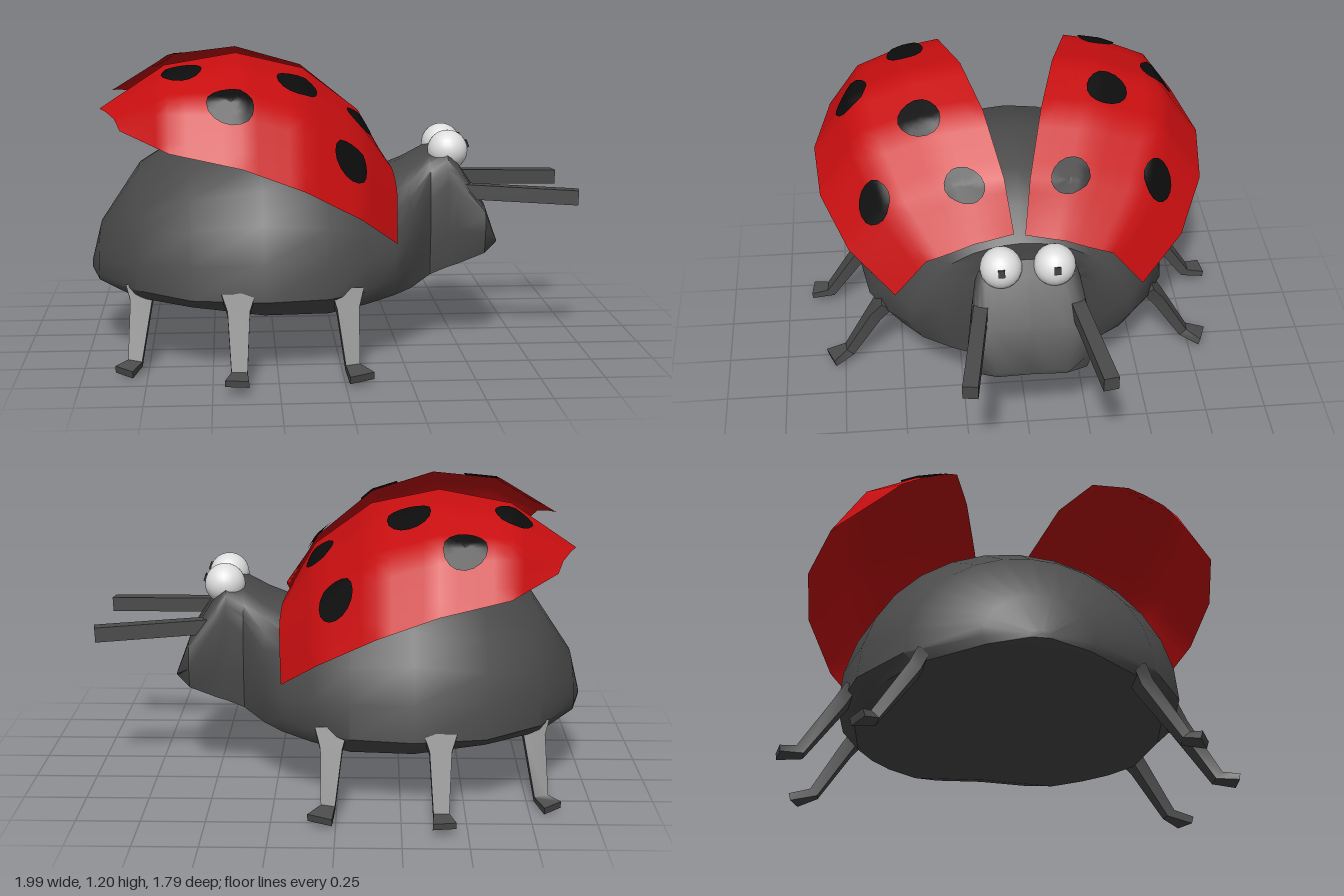
import * as THREE from 'three';
import { toCreasedNormals } from 'three/addons/utils/BufferGeometryUtils.js';

const V = (x, y, z) => new THREE.Vector3(x, y, z);
const lerp = THREE.MathUtils.lerp;

function material(name, color, side = THREE.FrontSide) {
  const m = new THREE.MeshStandardMaterial({ color, side });
  m.name = name;
  return m;
}

// Skin a list of equal-length cross-sections
function loft(rings, closed, capped) {
  const n = rings[0].length, pos = [], idx = [];
  rings.forEach(r => r.forEach(p => pos.push(p.x, p.y, p.z)));
  const steps = closed ? n : n - 1;
  for (let i = 0; i < rings.length - 1; i++) {
    for (let j = 0; j < steps; j++) {
      const k = (j + 1) % n;
      const a = i * n + j, b = a + n, c = (i + 1) * n + k, d = i * n + k;
      idx.push(a, b, c, a, c, d);
    }
  }
  if (capped) {
    [0, rings.length - 1].forEach((i, end) => {
      const c = V(0, 0, 0);
      rings[i].forEach(p => c.addScaledVector(p, 1 / n));
      const ci = pos.length / 3;
      pos.push(c.x, c.y, c.z);
      for (let j = 0; j < n; j++) {
        const a = i * n + j, b = i * n + (j + 1) % n;
        if (end) idx.push(ci, b, a); else idx.push(ci, a, b);
      }
    });
  }
  const g = new THREE.BufferGeometry();
  g.setAttribute('position', new THREE.Float32BufferAttribute(pos, 3));
  g.setIndex(idx);
  g.computeVertexNormals();
  return g;
}

// Tapered rectangular bar through points [x, y, z, width, thickness]
function bar(points, side) {
  const ps = points.map(p => V(p[0], p[1], p[2]));
  const rings = points.map((p, i) => {
    const d = ps[Math.min(i + 1, ps.length - 1)].clone().sub(ps[Math.max(i - 1, 0)]).normalize();
    const s = side.clone().addScaledVector(d, -side.dot(d)).normalize();
    const n = d.clone().cross(s);
    return [[1, 1], [1, -1], [-1, -1], [-1, 1]].map(([a, b]) =>
      ps[i].clone().addScaledVector(s, a * p[3] / 2).addScaledVector(n, b * p[4] / 2));
  });
  return toCreasedNormals(loft(rings, true, true), 0.5);
}

// Body and head sections: x, half width, bottom, rim, top, squareness
const SECTIONS = [
  [-1, 0.04, 0.30, 0.31, 0.33, 1], [-0.96, 0.21, 0.28, 0.31, 0.49, 1],
  [-0.8, 0.47, 0.26, 0.30, 0.73, 1], [-0.58, 0.62, 0.25, 0.29, 0.87, 1],
  [-0.3, 0.67, 0.225, 0.29, 0.945, 1], [-0.05, 0.63, 0.22, 0.29, 0.90, 1],
  [0.1, 0.55, 0.235, 0.30, 0.82, 1], [0.22, 0.46, 0.25, 0.32, 0.71, 1],
  [0.3, 0.33, 0.25, 0.36, 0.74, 0.8], [0.39, 0.21, 0.28, 0.43, 0.785, 0.5],
  [0.46, 0.215, 0.31, 0.45, 0.81, 0.35], [0.5, 0.225, 0.325, 0.47, 0.75, 0.35],
  [0.61, 0.25, 0.375, 0.46, 0.58, 0.4], [0.67, 0.15, 0.40, 0.41, 0.42, 0.5],
];

function bodyGeometry() {
  const rings = SECTIONS.map(([x, w, yb, yr, yt, p]) => {
    const ring = [];
    for (let j = 0; j <= 14; j++) {
      const a = j / 14 * Math.PI, c = Math.cos(a), s = Math.max(0, Math.sin(a));
      ring.push(V(x, yr + (yt - yr) * s ** p, w * Math.sign(c) * Math.abs(c) ** p));
    }
    // slightly hollow belly
    for (const f of [-0.9, -0.45, 0, 0.45, 0.9])
      ring.push(V(x, yb + 0.03 * (1 - Math.abs(f) / 0.9) * Math.min(1, w), w * f));
    return ring;
  });
  return toCreasedNormals(loft(rings, true, true), 0.75);
}

// Wing case stations: inner edge xyz, outer edge xyz
const WING = [
  [0.21, 0.75, 0.03, 0.22, 0.48, 0.52], [0.1, 0.95, 0.06, 0.07, 0.61, 0.70],
  [-0.13, 1.13, 0.125, -0.15, 0.74, 0.81], [-0.4, 1.2, 0.2, -0.38, 0.83, 0.83],
  [-0.68, 1.16, 0.28, -0.65, 0.88, 0.76], [-0.93, 1.0, 0.36, -0.84, 0.94, 0.57],
];
const ACROSS = [0, 0.33, 0.73, 1], DROP = [0, 0.09, 0.36, 1];

// Point on a wing case: u runs 0..5 front to back, v runs 0..3 inner to outer
function wingPoint(u, v) {
  u = THREE.MathUtils.clamp(u, 0, 5);
  v = THREE.MathUtils.clamp(v, 0, 3);
  const i = Math.min(4, Math.floor(u)), j = Math.min(2, Math.floor(v));
  const s = WING[i].map((c, k) => lerp(c, WING[i + 1][k], u - i));
  const a = lerp(ACROSS[j], ACROSS[j + 1], v - j), d = lerp(DROP[j], DROP[j + 1], v - j);
  const bow = 0.02 * Math.sin(Math.PI * a) * Math.max(0, 1 - u);
  return V(lerp(s[0], s[3], a) + bow, lerp(s[1], s[4], d), lerp(s[2], s[5], a));
}

function wingGeometry(side) {
  const rings = [];
  for (let i = 0; i <= 20; i++) {
    const ring = [];
    for (let j = 0; j <= 12; j++) {
      const p = wingPoint(i / 4, j / 4);
      ring.push(V(p.x, p.y, p.z * side));
    }
    rings.push(ring);
  }
  return loft(rings, false, false);
}

// Round spot that follows the wing case surface
function spotGeometry(u, v, r, side) {
  const e = 0.3;
  const du = wingPoint(u + e, v).sub(wingPoint(u - e, v)).divideScalar(2 * e);
  const dv = wingPoint(u, v + e).sub(wingPoint(u, v - e)).divideScalar(2 * e);
  const n = du.clone().cross(dv).normalize();
  if (n.y < 0) n.negate();
  const rings = [0.001, 0.25, 0.5, 0.75, 1].map(f => {
    const ring = [];
    for (let k = 0; k < 16; k++) {
      const a = k / 16 * Math.PI * 2;
      const p = wingPoint(u + f * r * Math.cos(a) / du.length(), v + f * r * Math.sin(a) / dv.length());
      p.addScaledVector(n, 0.008);
      ring.push(V(p.x, p.y, p.z * side));
    }
    return ring;
  });
  return loft(rings, true, false);
}

export function createModel() {
  const model = new THREE.Group();
  model.name = 'ladybird';
  const grey = material('bodyGrey', 0x4a4a4a);
  const red = material('wingRed', 0xc80e10, THREE.DoubleSide);
  const black = material('spotBlack', 0x0c0c0c, THREE.DoubleSide);
  const white = material('eyeWhite', 0xdedede);
  const dark = material('pupilGrey', 0x2c2c2c);
  const add = (name, geo, mat, parent = model) => {
    const m = new THREE.Mesh(geo, mat);
    m.name = name;
    parent.add(m);
    return m;
  };

  add('body', bodyGeometry(), grey);

  // Hip, ankle and toe of each left leg
  const legs = {
    front: [[0.02, 0.31, 0.56, 0.13, 0.05], [0.02, 0.24, 0.61, 0.085, 0.05], [0.03, 0.05, 0.73, 0.055, 0.04], [0.06, 0.03, 0.81, 0.1, 0.03]],
    middle: [[-0.4, 0.31, 0.63, 0.13, 0.05], [-0.4, 0.25, 0.67, 0.085, 0.05], [-0.4, 0.05, 0.81, 0.06, 0.04], [-0.41, 0.04, 0.89, 0.09, 0.025]],
    rear: [[-0.78, 0.30, 0.40, 0.12, 0.05], [-0.78, 0.24, 0.43, 0.085, 0.05], [-0.8, 0.035, 0.57, 0.055, 0.04], [-0.84, 0.017, 0.63, 0.08, 0.03]],
  };
  // Spot positions on each wing case: u, v, radius
  const spots = {
    left: [[0.95, 0.75, 0.08], [1.2, 2.2, 0.085], [2.1, 1.08, 0.09], [3.13, 2.06, 0.09], [3.78, 0.92, 0.08]],
    right: [[1.05, 0.75, 0.08], [1.35, 2.2, 0.085], [2.55, 1.1, 0.09], [3.35, 2.06, 0.085], [4.05, 0.85, 0.08]],
  };

  for (const [label, side] of [['left', 1], ['right', -1]]) {
    for (const [pos, pts] of Object.entries(legs))
      add(`${label} ${pos} leg`, bar(pts.map(([x, y, z, w, t]) => [x, y, z * side, w, t]), V(1, 0, 0)), grey);

    add(`${label} antenna`, bar([[0.48, 0.63, 0.18 * side, 0.055, 0.06],
      [0.985, 0.61, 0.262 * side, 0.06, 0.06]], V(0, 0, 1)), grey);

    // Raised wing case with its spots
    const wing = new THREE.Group();
    wing.name = `${label} wing case`;
    if (side < 0) wing.position.set(0, -0.008, 0.015);
    model.add(wing);
    add('shell', wingGeometry(side), red, wing);
    spots[label].forEach(([u, v, r]) => add('spot', spotGeometry(u, v, r, side), black, wing));

    // Eye with a small pupil plate
    const eye = add(`${label} eye`, new THREE.SphereGeometry(0.083, 24, 16), white);
    eye.position.set(0.468, 0.785, 0.105 * side);
    const pupil = add(`${label} pupil`, new THREE.BoxGeometry(0.009, 0.03, 0.026), dark);
    pupil.position.set(0.468 + 0.079, 0.785 + 0.027, 0.108 * side);
    pupil.rotation.z = 0.33;
  }
  return model;
}
